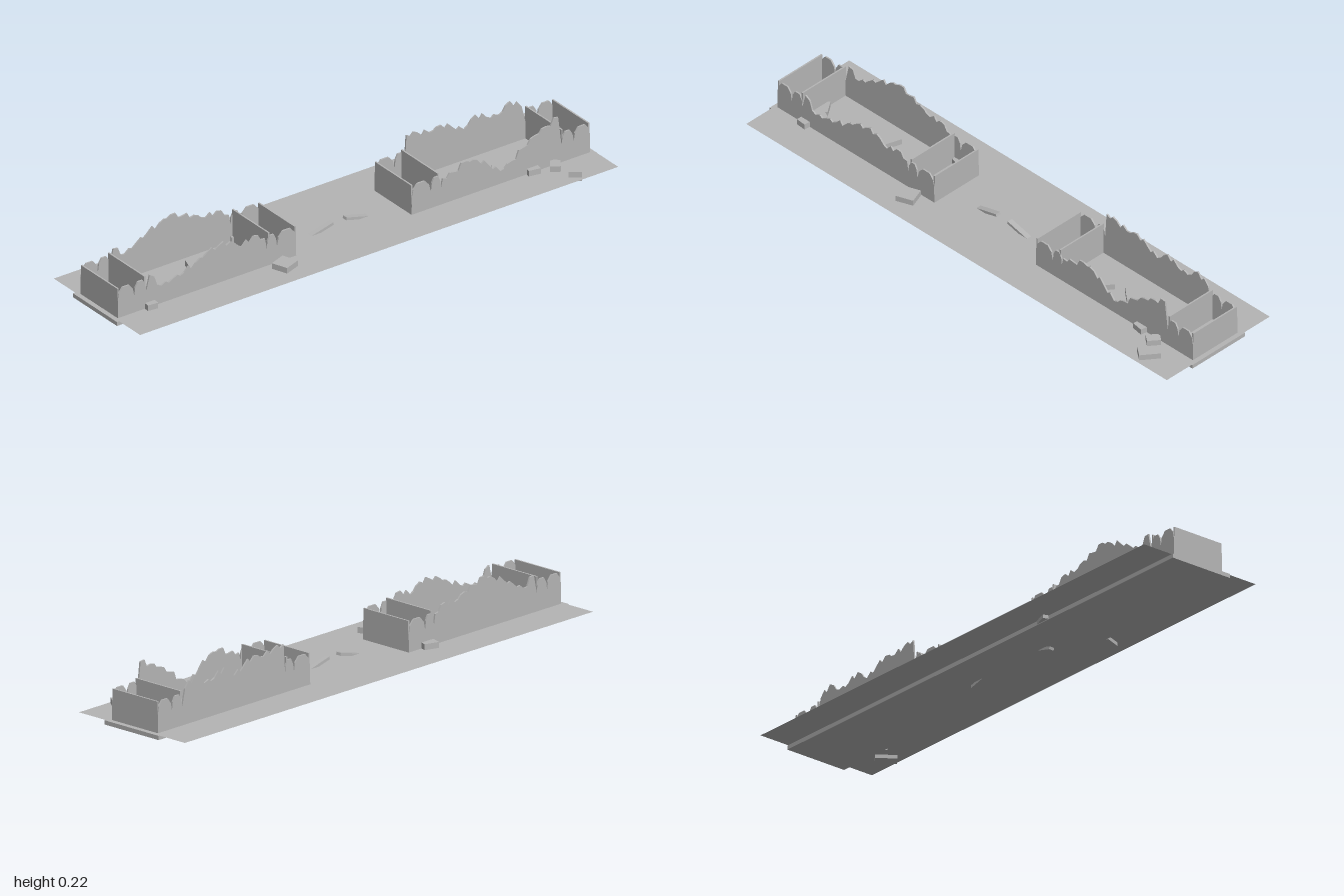
import * as THREE from 'three';

export function createModel() {
  const model = new THREE.Group();
  model.name = 'ruinedTrench';
  const grey = new THREE.MeshStandardMaterial({ color: 0xb4b4b4, side: THREE.DoubleSide });
  grey.name = 'stone grey';

  const add = (name, geometry) => {
    const mesh = new THREE.Mesh(geometry, grey);
    mesh.name = name;
    model.add(mesh);
    return mesh;
  };
  const box = (name, w, h, d, x, y, z) => {
    const mesh = add(name, new THREE.BoxGeometry(w, h, d));
    mesh.position.set(x, y, z);
    return mesh;
  };

  // Ground sheet and the narrower foundation under it
  const ground = add('groundSheet', new THREE.PlaneGeometry(0.49, 1.99).rotateX(-Math.PI / 2));
  ground.position.set(0, 0.034, -0.003);
  box('foundation', 0.25, 0.015, 2, 0, 0.0255, 0);

  // Rounded scallop on a wall top, as [distance from centre, height]
  const scallop = (centre, half) => [-1, -0.85, -0.4, 0.4, 0.85, 1]
    .map((t) => [centre + t * half, 0.1 + 0.05 * Math.sqrt(1 - t * t)]);

  // Broken wall top: evenly spaced heights with small teeth between them
  const ruin = (heights) => {
    const step = 0.48 / (heights.length - 1);
    return heights.flatMap((y, i) => {
      const z = 0.37 + i * step;
      if (i === heights.length - 1) return [[z, y]];
      const next = heights[i + 1];
      const tooth = 0.007 + 0.004 * Math.sin(i * 2.3);
      return [[z, y], [z + step * 0.35, y * 0.65 + next * 0.35 - tooth], [z + step * 0.6, y * 0.4 + next * 0.6 + tooth]];
    });
  };

  // Four long walls, scalloped at both ends and broken in the middle
  const sideWall = (side, end, heights) => {
    const outline = [
      [0.24, 0.02], ...scallop(0.28, 0.039), ...scallop(0.342, 0.021),
      ...ruin(heights),
      ...scallop(0.889, 0.025), ...scallop(0.949, 0.034), [0.983, 0.02],
    ];
    const shape = new THREE.Shape(outline.map(([z, y]) => new THREE.Vector2(-z * end, y)));
    const geometry = new THREE.ExtrudeGeometry(shape, { depth: 0.006, bevelEnabled: false });
    geometry.translate(0, 0, -0.003).rotateY(Math.PI / 2);
    add('brokenSideWall', geometry).position.x = side * 0.103;
  };
  sideWall(-1, 1, [0.14, 0.17, 0.16, 0.185, 0.198, 0.218, 0.2, 0.18, 0.155, 0.13, 0.165]);
  sideWall(1, 1, [0.14, 0.165, 0.14, 0.175, 0.175, 0.165, 0.14, 0.12, 0.11, 0.1, 0.155]);
  sideWall(-1, -1, [0.205, 0.2, 0.185, 0.198, 0.175, 0.15, 0.19, 0.165, 0.158, 0.195, 0.16]);
  sideWall(1, -1, [0.13, 0.14, 0.165, 0.155, 0.12, 0.082, 0.105, 0.14, 0.17, 0.19, 0.21]);

  // Cross walls closing each enclosure and its end compartments
  for (const end of [-1, 1]) {
    for (const [z, top] of [[0.243, 0.145], [0.352, 0.156], [0.868, 0.156], [0.98, 0.145]]) {
      box('crossWall', 0.206, top - 0.02, 0.006, 0, (top + 0.02) / 2, end * z);
    }
  }

  // Tilted planks sunk into the ground at the centre
  for (const end of [-1, 1]) {
    const plank = box('tiltedPlank', 0.02, 0.01, 0.182, 0.017, 0.03, end * 0.115);
    plank.rotation.x = end * 0.25;
  }

  // Scattered blocks, turned in degrees
  const block = (x, z, width, depth, turn) => {
    const mesh = box('fallenBlock', width, 0.034, depth, x, 0.038, z);
    mesh.rotation.y = -THREE.MathUtils.degToRad(turn);
  };
  block(0.19, -0.86, 0.075, 0.045, 37);
  block(0.13, -0.82, 0.048, 0.035, 38);
  block(0.09, -0.745, 0.073, 0.045, 10);
  block(0, -0.605, 0.062, 0.07, 40);
  block(0.025, -0.49, 0.058, 0.042, 36);
  block(0.035, -0.39, 0.062, 0.05, -38);
  block(0.055, -0.42, 0.045, 0.03, 20);
  block(-0.11, 0.33, 0.053, 0.055, 18);
  block(0.15, 0.32, 0.062, 0.065, -20);
  block(-0.015, 0.575, 0.075, 0.042, 18);
  block(0.055, 0.66, 0.063, 0.08, 28);
  block(0.015, 0.86, 0.06, 0.045, -35);
  block(0.068, 0.842, 0.075, 0.05, 25);
  block(0.11, 0.85, 0.035, 0.04, 5);
  return model;
}
